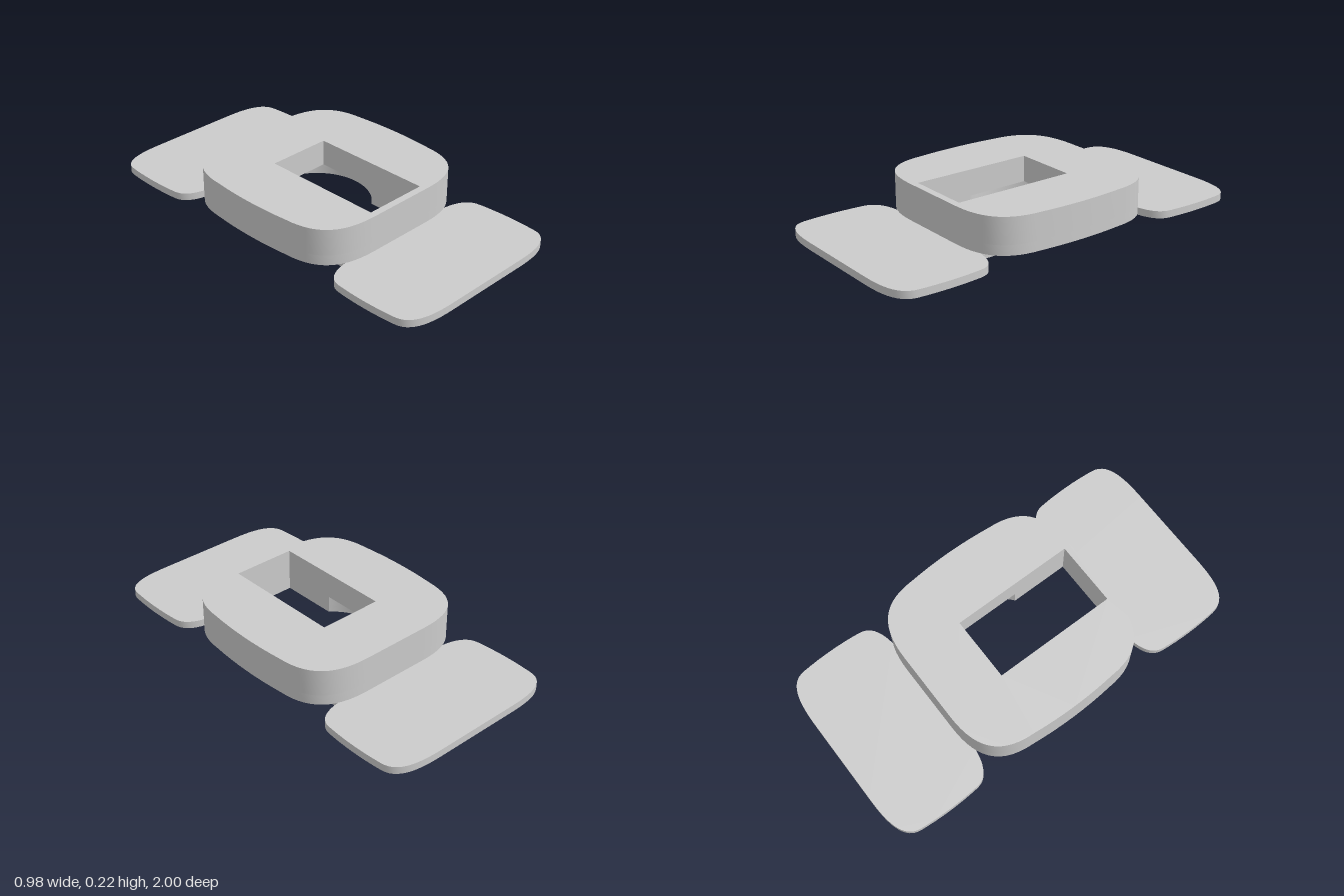
import * as THREE from 'three';
import { toCreasedNormals } from 'three/addons/utils/BufferGeometryUtils.js';

const V = (x, z) => new THREE.Vector2(x, z);

// heights: plate top, pocket ceiling, body top
const PLATE = 0.037, POCKET = 0.088, TOP = 0.222;
// window through the body and round pocket below it
const HALF_W = 0.165, BACK = -0.18, FRONT = 0.455;
const POCKET_Z = -0.06, POCKET_R = 0.27;

// soft corner: gently bowed side, then a rounded corner into a straight end
function corner(side, knee, c1, c2, end) {
  const bow = new THREE.QuadraticBezierCurve(side, V(side.x, knee.y / 2), knee);
  const bend = new THREE.CubicBezierCurve(knee, c1, c2, end);
  return [...bow.getPoints(4), ...bend.getPoints(14).slice(1)];
}

// mirror a quarter outline into a closed ring
function ring(q) {
  const flip = (sx, sz) => q.map(p => V(p.x * sx, p.y * sz));
  const all = [...q, ...flip(-1, 1).reverse(), ...flip(-1, -1), ...flip(1, -1).reverse()];
  return all.filter((p, i) => p.distanceTo(all[(i + 1) % all.length]) > 1e-5);
}

function windowHole() {
  return new THREE.Path([V(-HALF_W, BACK), V(HALF_W, BACK), V(HALF_W, FRONT), V(-HALF_W, FRONT)]);
}

// window and pocket joined into one keyhole
function keyhole() {
  const dz = Math.sqrt(POCKET_R ** 2 - HALF_W ** 2);
  const a = Math.atan2(dz, HALF_W);
  const path = new THREE.Path();
  path.moveTo(-HALF_W, FRONT);
  path.lineTo(HALF_W, FRONT);
  path.lineTo(HALF_W, POCKET_Z + dz);
  path.absarc(0, POCKET_Z, POCKET_R, a, Math.PI - a, true);
  path.closePath();
  return path;
}

// flat layer between two heights
function layer(name, outline, hole, y0, y1, material) {
  const shape = new THREE.Shape(outline);
  shape.holes.push(hole);
  const geo = new THREE.ExtrudeGeometry(shape, { depth: y1 - y0, bevelEnabled: false, curveSegments: 40 });
  geo.rotateX(Math.PI / 2).translate(0, y1, 0);
  const mesh = new THREE.Mesh(toCreasedNormals(geo, Math.PI / 6), material);
  mesh.name = name;
  return mesh;
}

export function createModel() {
  const group = new THREE.Group();
  group.name = 'slottedBlockOnPlate';
  const material = new THREE.MeshStandardMaterial({ color: 0xcccccc });

  const body = ring(corner(V(0.49, 0), V(0.478, 0.23), V(0.47, 0.42), V(0.37, 0.49), V(0.18, 0.49)));

  // base plate: two flaps joined by a narrower strap
  const flap = corner(V(0.49, 0), V(0.482, 0.16), V(0.475, 0.265), V(0.33, 0.27), V(0.22, 0.27));
  const strap = 0.33, flapZ = 0.73;
  const inner = flap.filter(p => p.x > strap + 0.01).map(p => V(p.x, flapZ - p.y)).reverse();
  const outer = flap.map(p => V(p.x, flapZ + p.y));
  const plate = ring([V(strap, 0.465), ...inner, ...outer]);

  group.add(
    layer('basePlate', plate, keyhole(), 0, PLATE, material),
    layer('bodyLower', body, keyhole(), PLATE, POCKET, material),
    layer('bodyUpper', body, windowHole(), POCKET, TOP, material)
  );
  return group;
}
